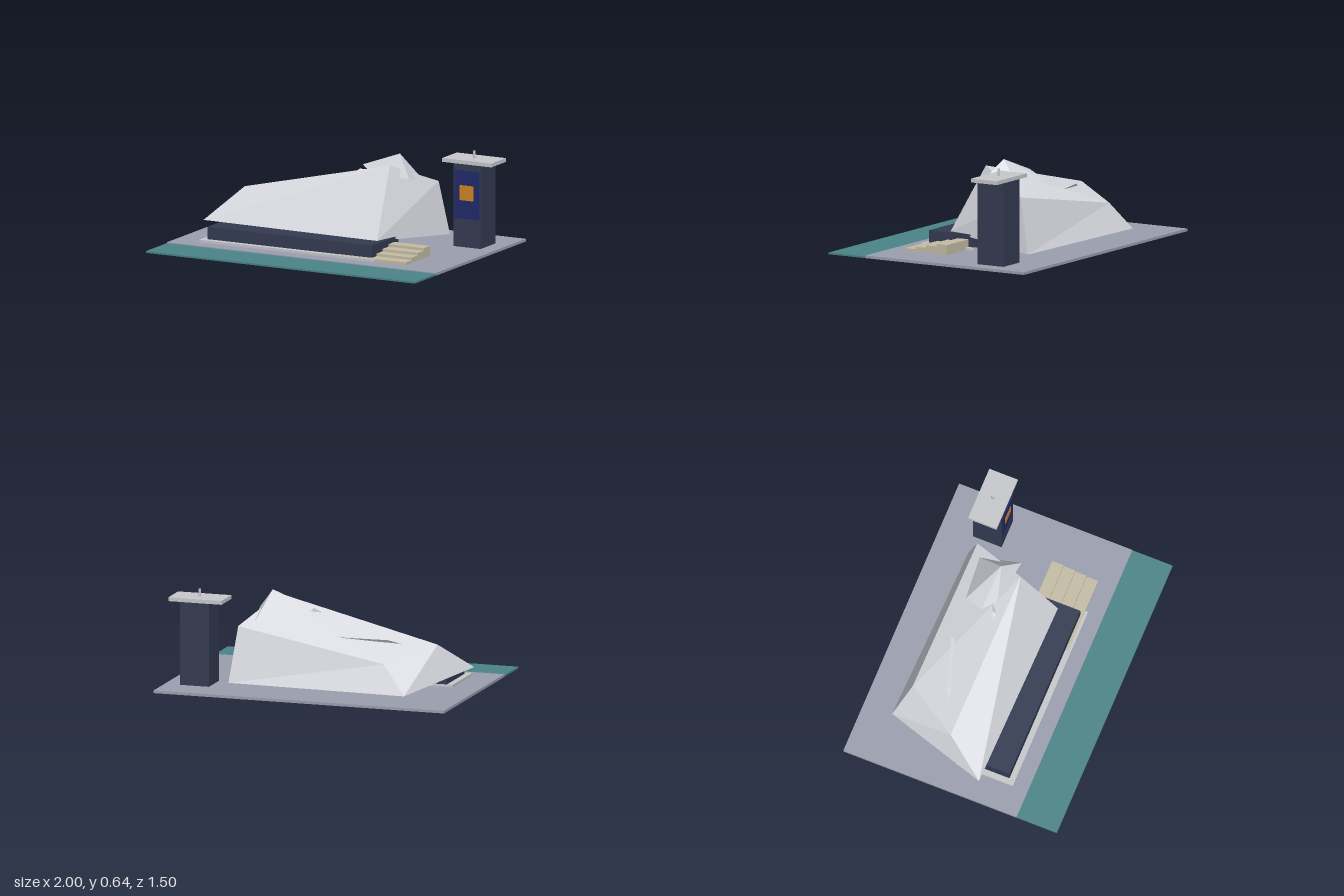
import * as THREE from 'three';

const mat = (name, color, extra = {}) => {
  const m = new THREE.MeshStandardMaterial({ color, ...extra });
  m.name = name;
  return m;
};

// Flat-shaded mesh geometry from points and triangles
function facets(points, faces) {
  const pos = faces.flat().flatMap((i) => points[i]);
  const g = new THREE.BufferGeometry();
  g.setAttribute('position', new THREE.Float32BufferAttribute(pos, 3));
  g.computeVertexNormals();
  return g;
}

// Closed block between two rings of equal length (counter-clockwise from above)
function faceted(bottom, top) {
  const n = bottom.length;
  const faces = [];
  for (let i = 0; i < n; i++) {
    const j = (i + 1) % n;
    faces.push([i, j, n + j], [i, n + j, n + i]);
    if (i > 0 && i < n - 1) {
      faces.push([0, i + 1, i]);
      faces.push([n + 1, n + 1 + i, n + ((2 + i) % n)]);
    }
  }
  return facets([...bottom, ...top], faces);
}

// Closed shard: a ring joined to one apex
function shard(ring, apex) {
  const n = ring.length;
  const faces = [];
  for (let i = 0; i < n; i++) {
    faces.push([i, (i + 1) % n, n]);
    if (i > 0 && i < n - 1) faces.push([0, i + 1, i]);
  }
  return facets([...ring, apex], faces);
}

export function createModel() {
  const root = new THREE.Group();
  root.name = 'angularBuilding';

  const paving = mat('paving grey', 0x9b9fae);
  const water = mat('water teal', 0x4a8488);
  const shellWhite = mat('shell white', 0xd8dae0);
  const stone = mat('pale stone', 0xc6c8cb);
  const navy = mat('dark navy', 0x343b52);
  const sand = mat('sand steps', 0xc4bca4);
  const blue = mat('banner blue', 0x202b69);
  const orange = mat('banner orange', 0xd08524);

  const add = (name, geo, material) => {
    const m = new THREE.Mesh(geo, material);
    m.name = name;
    root.add(m);
    return m;
  };
  // Box given by its limits on each axis
  const box = (name, material, [x0, x1], [y0, y1], [z0, z1]) =>
    add(name, new THREE.BoxGeometry(x1 - x0, y1 - y0, z1 - z0), material)
      .position.set((x0 + x1) / 2, (y0 + y1) / 2, (z0 + z1) / 2);

  // Ground and waterfront
  box('ground', paving, [-1, 1], [0, 0.018], [-0.753, 0.467]);
  box('water', water, [-1, 1], [0, 0.012], [0.467, 0.75]);

  // Terrace and recessed ground floor
  box('terrace', stone, [-0.815, 0.487], [0.018, 0.035], [-0.037, 0.365]);
  box('groundFloor', navy, [-0.775, 0.447], [0.035, 0.118], [-0.035, 0.325]);

  // Steps rising towards the back
  for (let i = 0; i < 4; i++) {
    box('step', sand, [0.19, 0.71], [0.018, 0.036 + i * 0.0165],
      [0.02, 0.345 - i * 0.081]);
  }

  // Main folded shell
  add('shell', faceted(
    [[-0.897, 0.12, 0.16], [0.407, 0.118, 0.184], [0.567, 0.05, -0.512], [-0.655, 0.05, -0.55]],
    [[-0.735, 0.312, -0.105], [0.367, 0.57, -0.062], [0.527, 0.415, -0.432], [-0.49, 0.237, -0.473]],
  ), shellWhite);

  // Shards breaking out of the roof
  add('roofPeak', shard([
    [0.08, 0.52, -0.22], [0.18, 0.485, -0.145], [0.487, 0.483, -0.105],
    [0.44, 0.424, -0.38], [0.123, 0.475, -0.35],
  ], [0.367, 0.625, -0.2]), shellWhite);
  add('roofSliver', shard([
    [-0.55, 0.315, -0.195], [-0.45, 0.325, -0.205],
    [-0.13, 0.372, -0.325], [-0.125, 0.368, -0.35],
  ], [-0.44, 0.35, -0.25]), shellWhite);
  add('roofChip', shard([
    [0.035, 0.465, -0.12], [0.09, 0.48, -0.115], [0.15, 0.495, -0.17],
  ], [0.1, 0.508, -0.15]), shellWhite);

  // Tower with overhanging cap and mast
  box('tower', navy, [0.695, 0.895], [0.018, 0.57], [-0.53, -0.33]);
  box('towerCap', stone, [0.608, 0.975], [0.57, 0.595], [-0.53, -0.33]);
  add('mast', new THREE.CylinderGeometry(0.009, 0.009, 0.05, 12), stone)
    .position.set(0.793, 0.62, -0.43);

  // Banner on the tower front
  box('banner', blue, [0.702, 0.888], [0.207, 0.528], [-0.331, -0.327]);
  box('bannerSquare', orange, [0.743, 0.845], [0.33, 0.43], [-0.328, -0.324]);

  return root;
}
